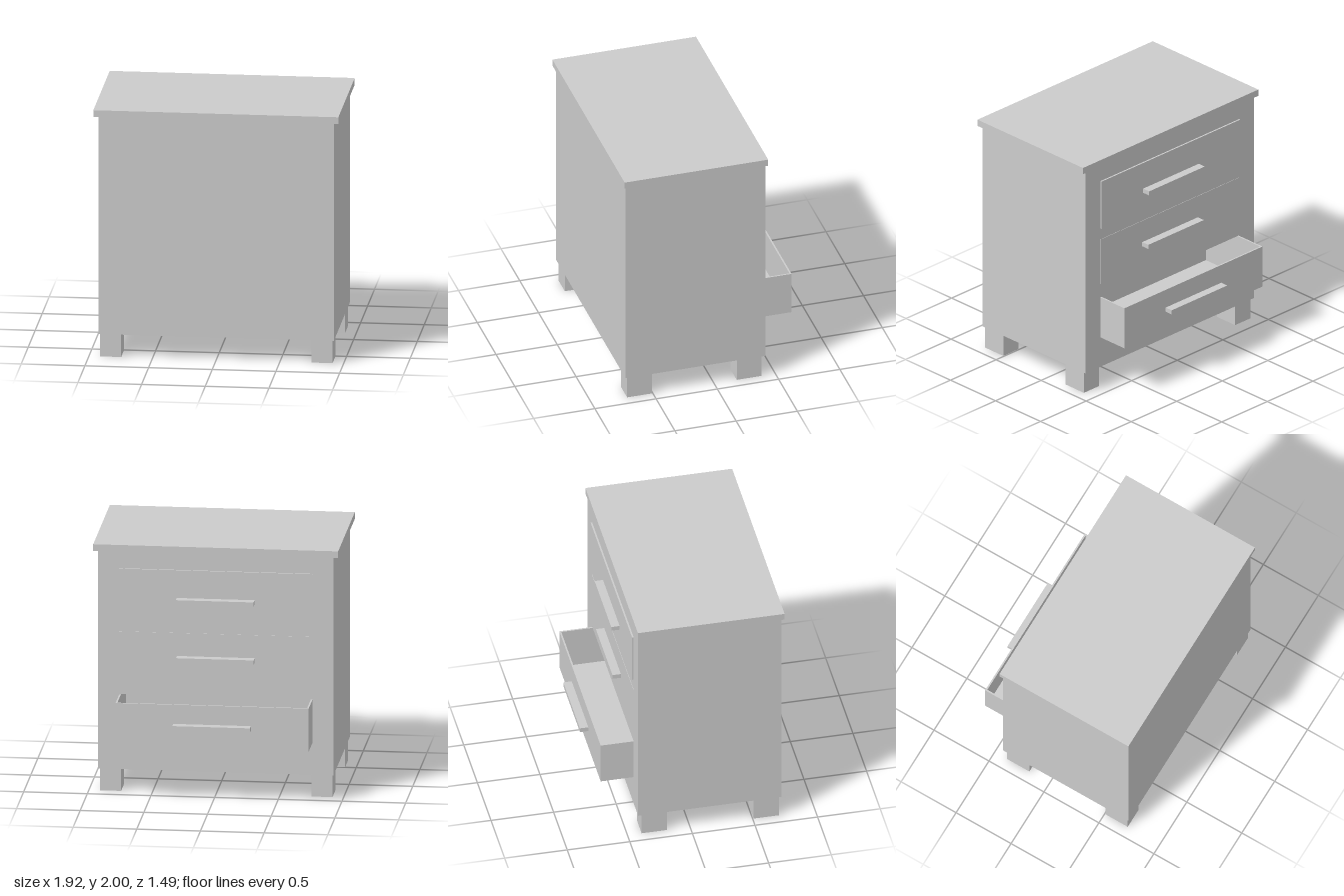
import * as THREE from 'three';

const material = new THREE.MeshStandardMaterial({ color: 0xcccccc });

// Box given by its limits on each axis
function box(name, [x0, x1], [y0, y1], [z0, z1]) {
  const mesh = new THREE.Mesh(new THREE.BoxGeometry(x1 - x0, y1 - y0, z1 - z0), material);
  mesh.position.set((x0 + x1) / 2, (y0 + y1) / 2, (z0 + z1) / 2);
  mesh.name = name;
  return mesh;
}

function rectangle(Type, x, y0, y1) {
  return new Type([
    new THREE.Vector2(-x, y0), new THREE.Vector2(x, y0),
    new THREE.Vector2(x, y1), new THREE.Vector2(-x, y1),
  ]);
}

// Bar handle standing out from a drawer front at depth z
function handle(y, z) {
  return box('handle', [-0.305, 0.305], [y - 0.018, y + 0.018], [z - 0.067, z]);
}

// Closed drawer: front panel and handle
function closedDrawer(name, y0, y1, z, handleY) {
  const drawer = new THREE.Group();
  drawer.name = name;
  drawer.add(box('drawerFront', [-0.76, 0.76], [y0, y1], [z, -0.4]), handle(handleY, z));
  return drawer;
}

// Open drawer: hollow thin-walled tray pulled out of the case
function openDrawer() {
  const drawer = new THREE.Group();
  drawer.name = 'bottomDrawer';
  const y = [0.44, 0.79], w = 0.758, t = 0.013, front = -0.68, back = -0.05;
  drawer.add(
    box('drawerFront', [-w, w], y, [front, front + t]),
    box('drawerBack', [-w, w], y, [back - t, back]),
    box('drawerFloor', [-w + t, w - t], [y[0], y[0] + t], [front + t, back - t]),
    handle(0.617, front),
  );
  for (const s of [-1, 1]) {
    const a = s * w, b = s * (w - t);
    drawer.add(box('drawerSide', [Math.min(a, b), Math.max(a, b)], y, [front + t, back - t]));
  }
  return drawer;
}

export function createModel() {
  const model = new THREE.Group();
  model.name = 'chestOfDrawers';

  // Case with the opening for the bottom drawer, closed by a back panel
  const outline = rectangle(THREE.Shape, 0.925, 0.185, 1.945);
  outline.holes.push(rectangle(THREE.Path, 0.76, 0.438, 0.792));
  const body = new THREE.Mesh(
    new THREE.ExtrudeGeometry(outline, { depth: 1.115, bevelEnabled: false }), material);
  body.position.z = -0.417;
  body.name = 'case';
  model.add(body, box('backPanel', [-0.925, 0.925], [0.185, 1.945], [0.698, 0.726]));

  // Overhanging top
  model.add(box('top', [-0.962, 0.962], [1.945, 2], [-0.427, 0.745]));

  // Four block legs
  for (const x of [-0.83, 0.83]) {
    for (const z of [-0.286, 0.609]) {
      model.add(box('leg', [x - 0.083, x + 0.083], [0, 0.185], [z - 0.101, z + 0.101]));
    }
  }

  model.add(
    closedDrawer('topDrawer', 1.395, 1.81, -0.43, 1.568),
    closedDrawer('middleDrawer', 0.91, 1.3, -0.42, 1.096),
    openDrawer(),
  );
  return model;
}
